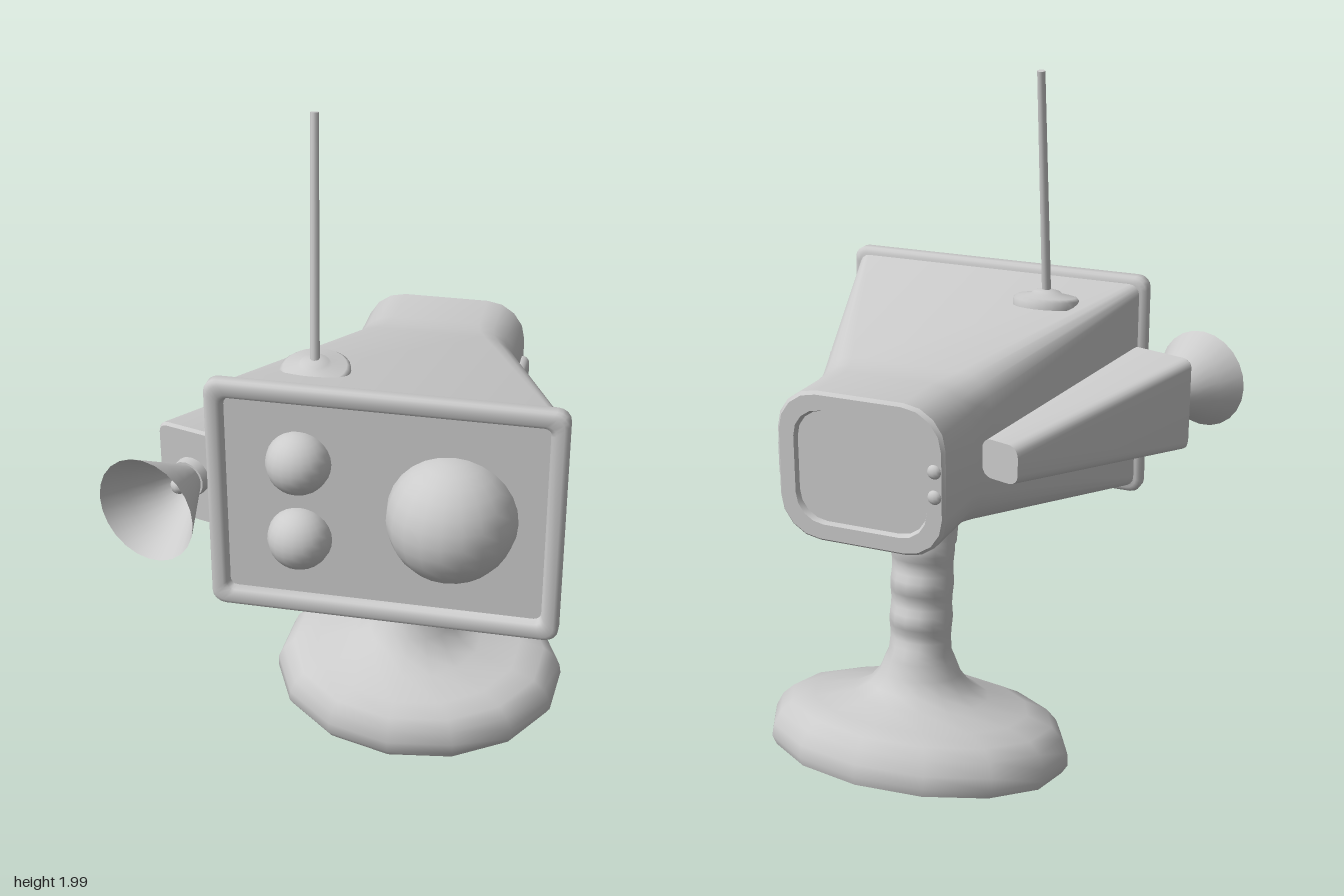
import * as THREE from 'three';
import { toCreasedNormals } from 'three/addons/utils/BufferGeometryUtils.js';
import { RoundedBoxGeometry } from 'three/addons/geometries/RoundedBoxGeometry.js';

const grey = new THREE.MeshStandardMaterial({ color: 0xcccccc });
const greyDouble = new THREE.MeshStandardMaterial({ color: 0xcccccc, side: THREE.DoubleSide });

function add(parent, name, geometry, x = 0, y = 0, z = 0, material = grey) {
  const mesh = new THREE.Mesh(geometry, material);
  mesh.name = name;
  mesh.position.set(x, y, z);
  parent.add(mesh);
  return mesh;
}

function addGroup(parent, name, x, y, z) {
  const group = new THREE.Group();
  group.name = name;
  group.position.set(x, y, z);
  parent.add(group);
  return group;
}

// Capped skin over rounded rectangles [z, centre x, half width, half height, corner radius], back to front
function loft(sections, crease = 0.6) {
  const pos = [], index = [], steps = 4, n = 4 * (steps + 1);
  for (const [z, cx, hw, hh, r] of sections) {
    for (let c = 0; c < 4; c++) {
      const sx = c === 0 || c === 3 ? 1 : -1, sy = c < 2 ? 1 : -1;
      for (let s = 0; s <= steps; s++) {
        const a = (c + s / steps) * Math.PI / 2;
        pos.push(cx + sx * (hw - r) + r * Math.cos(a), sy * (hh - r) + r * Math.sin(a), z);
      }
    }
  }
  const last = sections.length - 1;
  for (let k = 0; k < last; k++) {
    for (let i = 0; i < n; i++) {
      const a = k * n + i, b = k * n + (i + 1) % n;
      index.push(a, b, b + n, a, b + n, a + n);
    }
  }
  for (let i = 1; i < n - 1; i++) {
    index.push(0, i + 1, i, last * n, last * n + i, last * n + i + 1);
  }
  const g = new THREE.BufferGeometry();
  g.setAttribute('position', new THREE.Float32BufferAttribute(pos, 3));
  g.setIndex(index);
  return toCreasedNormals(g, crease);
}

const lathe = (points, sides) =>
  new THREE.LatheGeometry(points.map(([r, y]) => new THREE.Vector2(r, y)), sides);

function addHead(model) {
  const head = addGroup(model, 'head', 0.13, 1.045, 0);
  // Tapering shell with a recessed rear plate
  add(head, 'shell', loft([
    [-0.515, 0, 0.185, 0.155, 0.08], [-0.53, 0, 0.19, 0.16, 0.08],
    [-0.53, 0, 0.232, 0.202, 0.11], [-0.52, 0, 0.24, 0.21, 0.115],
    [-0.35, 0, 0.24, 0.208, 0.115], [-0.30, 0, 0.242, 0.208, 0.105],
    [-0.25, 0, 0.253, 0.213, 0.095], [0.39, 0, 0.45, 0.315, 0.03],
  ]));
  // Front frame around the recessed face
  add(head, 'frontFrame', loft([
    [0.385, 0, 0.455, 0.32, 0.03], [0.39, 0, 0.466, 0.33, 0.035],
    [0.398, 0, 0.47, 0.335, 0.035], [0.425, 0, 0.47, 0.335, 0.035],
    [0.432, 0, 0.466, 0.331, 0.035], [0.436, 0, 0.457, 0.322, 0.03],
    [0.436, 0, 0.437, 0.298, 0.025], [0.43, 0, 0.428, 0.289, 0.022],
    [0.41, 0, 0.422, 0.283, 0.02],
  ], 0.8));
  // Domed lenses
  for (const [name, x, y, r] of [['largeLens', 0.18, 0, 0.172],
    ['upperSmallLens', -0.225, 0.115, 0.087], ['lowerSmallLens', -0.225, -0.11, 0.087]]) {
    add(head, name, new THREE.SphereGeometry(r, 20, 14), x, y, 0.413);
  }
  // Rear contacts and side button
  for (const y of [0.04, -0.03]) {
    add(head, 'rearContact', new THREE.SphereGeometry(0.02, 12, 8), -0.212, y, -0.528).scale.z = 0.7;
  }
  add(head, 'sideButton', new RoundedBoxGeometry(0.05, 0.125, 0.185, 3, 0.022), 0.238, -0.005, -0.407);
}

// Bolted hatch lying on the sloping left wall
function addHatch(model) {
  const hatch = addGroup(model, 'hatch', 0.508, 1.045, 0.155);
  hatch.rotation.y = Math.PI / 2 + 0.298;
  const shape = new THREE.Shape();
  shape.moveTo(-0.179, -0.13);
  shape.lineTo(0.179, -0.096);
  shape.lineTo(0.179, 0.156);
  shape.lineTo(-0.179, 0.216);
  shape.closePath();
  add(hatch, 'hatchPlate', new THREE.ExtrudeGeometry(shape, {
    depth: 0.006, bevelThickness: 0.003, bevelSize: 0.004, bevelSegments: 1 }));
  const bolt = lathe([[0.026, 0], [0.026, 0.008], [0.019, 0.014], [0.016, 0.022], [0, 0.025]], 12);
  bolt.rotateX(Math.PI / 2);
  for (const [x, y] of [[-0.136, 0.165], [-0.136, -0.09], [0.146, 0.11], [0.146, -0.07]]) {
    add(hatch, 'hatchBolt', bolt, x, y, 0.005);
  }
}

// Tapered side arm carrying a horn
function addHorn(model) {
  const horn = addGroup(model, 'hornAssembly', -0.41, 1.045, 0.34);
  horn.rotation.y = -0.29;
  add(horn, 'hornArm', loft([
    [-0.69, 0.044, 0.06, 0.055, 0.03], [-0.01, 0, 0.103, 0.138, 0.025], [0, 0, 0.098, 0.132, 0.022],
  ]));
  const collar = new THREE.CylinderGeometry(0.052, 0.055, 0.03, 18);
  add(horn, 'hornCollar', collar, 0, 0, 0.012).rotation.x = Math.PI / 2;
  const cone = lathe([[0.042, 0.02], [0.074, 0.08], [0.109, 0.145], [0.146, 0.215]], 24);
  add(horn, 'hornCone', cone, 0, 0, 0, greyDouble).rotation.x = Math.PI / 2;
  add(horn, 'hornBulb', new THREE.SphereGeometry(0.024, 12, 8), 0, 0, 0.06);
}

function addAntenna(model) {
  const base = lathe([[0.095, -0.015], [0.095, 0.006], [0.085, 0.014], [0.045, 0.02],
    [0.038, 0.028], [0.014, 0.034], [0, 0.034]], 24);
  add(model, 'antennaBase', base, -0.095, 1.333, 0.22).rotation.x = 0.158;
  const bottom = new THREE.Vector3(-0.095, 1.345, 0.222), top = new THREE.Vector3(-0.113, 1.998, 0.113);
  const dir = top.clone().sub(bottom);
  const rod = add(model, 'antennaRod', new THREE.CylinderGeometry(0.011, 0.013, dir.length(), 10));
  rod.position.copy(bottom).addScaledVector(dir, 0.5);
  rod.quaternion.setFromUnitVectors(new THREE.Vector3(0, 1, 0), dir.normalize());
}

// Leaning stand: oval foot flowing into a finger-grip handle
function addStand(model) {
  const stand = addGroup(model, 'stand', 0.115, 0.075, -0.24);
  stand.rotation.x = 0.195;
  const profile = [[0, 0], [0.435, 0], [0.45, 0.025], [0.446, 0.06], [0.427, 0.1], [0.395, 0.13],
    [0.32, 0.152], [0.2, 0.178], [0.15, 0.205], [0.118, 0.245], [0.1, 0.29]];
  for (let i = 1; i <= 20; i++) profile.push([0.09, 0.29 + i * 0.02]);
  profile.push([0.1, 0.72], [0.125, 0.75], [0.14, 0.79]);
  const g = lathe(profile, 14);
  g.rotateY(-0.07);
  const p = g.attributes.position;
  for (let i = 0; i < p.count; i++) {
    const x = p.getX(i), h = p.getY(i), z = p.getZ(i);
    const wide = THREE.MathUtils.smoothstep(Math.hypot(x, z), 0.1, 0.45);
    const grip = h > 0.28 && h < 0.7 ? 0.1 * Math.sin((h - 0.28) * 2 * Math.PI / 0.105) : 0;
    const lean = 0.1 * h * THREE.MathUtils.smoothstep(h, 0.1, 0.3);
    p.setZ(i, z * (1 - 0.2 * wide + grip) - lean);
  }
  add(stand, 'footAndHandle', toCreasedNormals(g, 0.9));
  // Trigger under the head
  const trigger = add(model, 'trigger', new RoundedBoxGeometry(0.13, 0.085, 0.06, 2, 0.012), 0.122, 0.715, -0.09);
  trigger.rotation.x = 0.25;
}

export function createModel() {
  const model = new THREE.Group();
  model.name = 'handheldScanner';
  addHead(model);
  addHatch(model);
  addHorn(model);
  addAntenna(model);
  addStand(model);
  return model;
}
